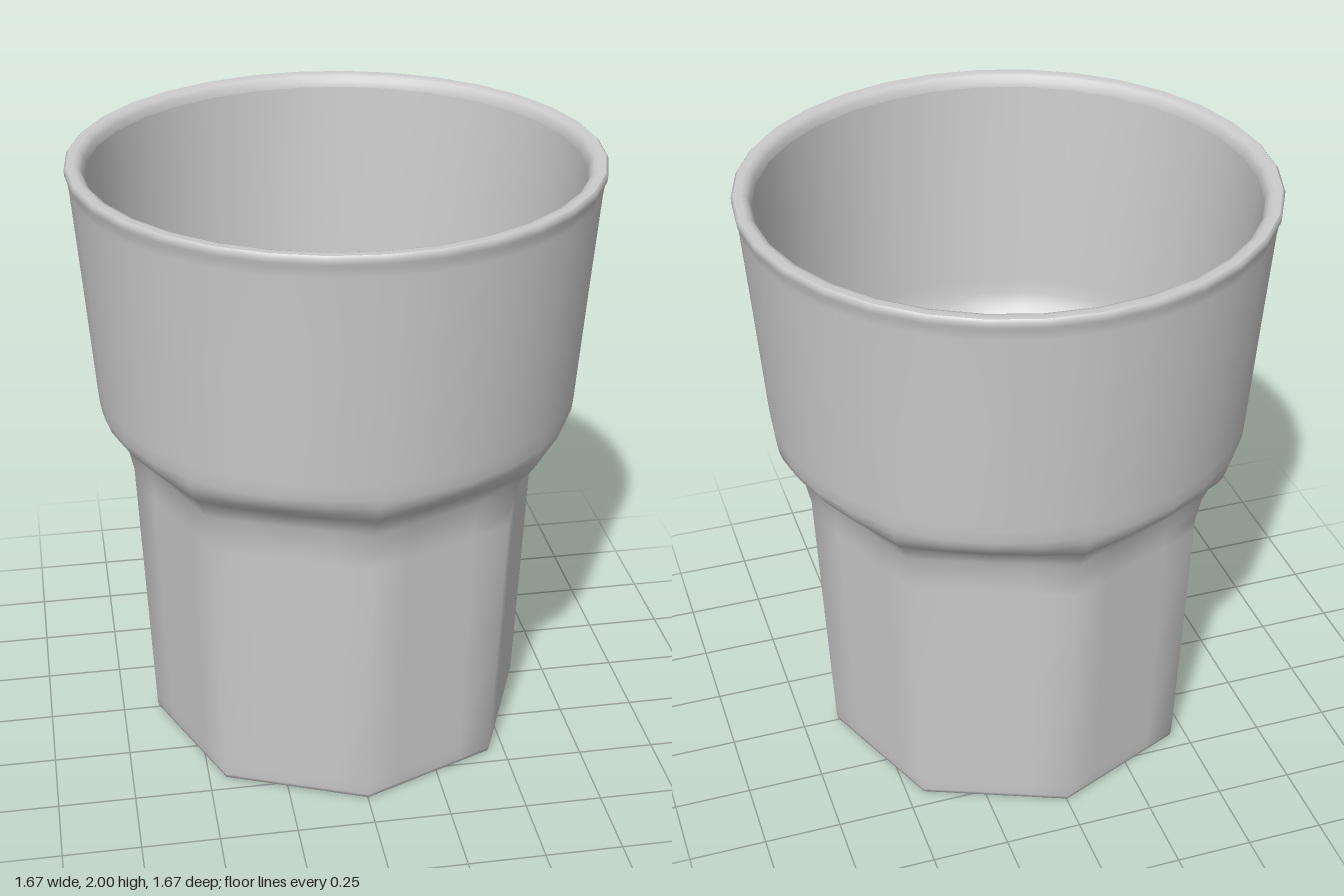
import * as THREE from 'three';

const SEGMENTS = 32;

// Radius at an angle: 0 = circle, 1 = octagon with corners on the axes
function ringRadius(angle, r, octagon) {
  const step = Math.PI / 4;
  const local = (angle % step) - step / 2;
  const flat = r * Math.cos(step / 2) / Math.cos(local);
  return r + (flat - r) * octagon;
}

// Skin a list of rings [y, radius, octagon blend]; radius 0 closes the surface
function skin(rings) {
  const positions = [], index = [];
  for (const [y, r, oct] of rings) {
    for (let i = 0; i < SEGMENTS; i++) {
      const a = (i / SEGMENTS) * Math.PI * 2;
      const d = ringRadius(a, r, oct);
      positions.push(d * Math.sin(a), y, d * Math.cos(a));
    }
  }
  for (let j = 0; j < rings.length - 1; j++) {
    for (let i = 0; i < SEGMENTS; i++) {
      const n = (i + 1) % SEGMENTS;
      const a = j * SEGMENTS + i, b = j * SEGMENTS + n;
      const c = a + SEGMENTS, d = b + SEGMENTS;
      if (rings[j][1] > 0) index.push(a, b, d);
      if (rings[j + 1][1] > 0) index.push(a, d, c);
    }
  }
  const geometry = new THREE.BufferGeometry();
  geometry.setAttribute('position', new THREE.Float32BufferAttribute(positions, 3));
  geometry.setIndex(index);
  geometry.computeVertexNormals();
  return geometry;
}

export function createModel() {
  const group = new THREE.Group();
  group.name = 'tumbler';
  const material = new THREE.MeshStandardMaterial({ color: 0xcccccc });
  const add = (name, rings) => {
    const mesh = new THREE.Mesh(skin(rings), material);
    mesh.name = name;
    group.add(mesh);
  };

  // Recessed underside
  add('base', [
    [0.035, 0, 1], [0.035, 0.51, 1], [0.03, 0.53, 1], [0.005, 0.545, 1],
    [0, 0.56, 1], [0, 0.615, 1],
  ]);

  // Octagonal lower wall swelling into the round upper wall and rim
  add('outerWall', [
    [0, 0.615, 1], [0.006, 0.628, 1], [0.02, 0.632, 1], [0.06, 0.634, 1], [0.5, 0.652, 1],
    [0.9, 0.668, 1], [0.95, 0.67, 1], [1.03, 0.687, 0.97], [1.08, 0.708, 0.85],
    [1.11, 0.735, 0.6], [1.14, 0.754, 0.35], [1.17, 0.763, 0.12],
    [1.2, 0.768, 0], [1.25, 0.773, 0], [1.6, 0.798, 0], [1.93, 0.823, 0],
    [1.96, 0.827, 0], [1.975, 0.834, 0], [1.992, 0.835, 0], [2, 0.828, 0],
  ]);

  // Rounded lip
  add('rim', [
    [2, 0.828, 0], [2, 0.805, 0], [1.995, 0.79, 0], [1.98, 0.779, 0], [1.96, 0.775, 0],
  ]);

  // Inside wall follows the outside down to the floor
  add('innerWall', [
    [1.96, 0.775, 0], [1.6, 0.748, 0], [1.25, 0.724, 0], [1.2, 0.72, 0],
    [1.16, 0.712, 0.15], [1.12, 0.695, 0.4], [1.08, 0.668, 0.7],
    [1.03, 0.642, 0.93], [0.95, 0.625, 1], [0.5, 0.612, 1],
    [0.14, 0.6, 1], [0.11, 0.592, 1], [0.095, 0.57, 1],
    [0.09, 0.53, 1], [0.09, 0, 1],
  ]);

  return group;
}
